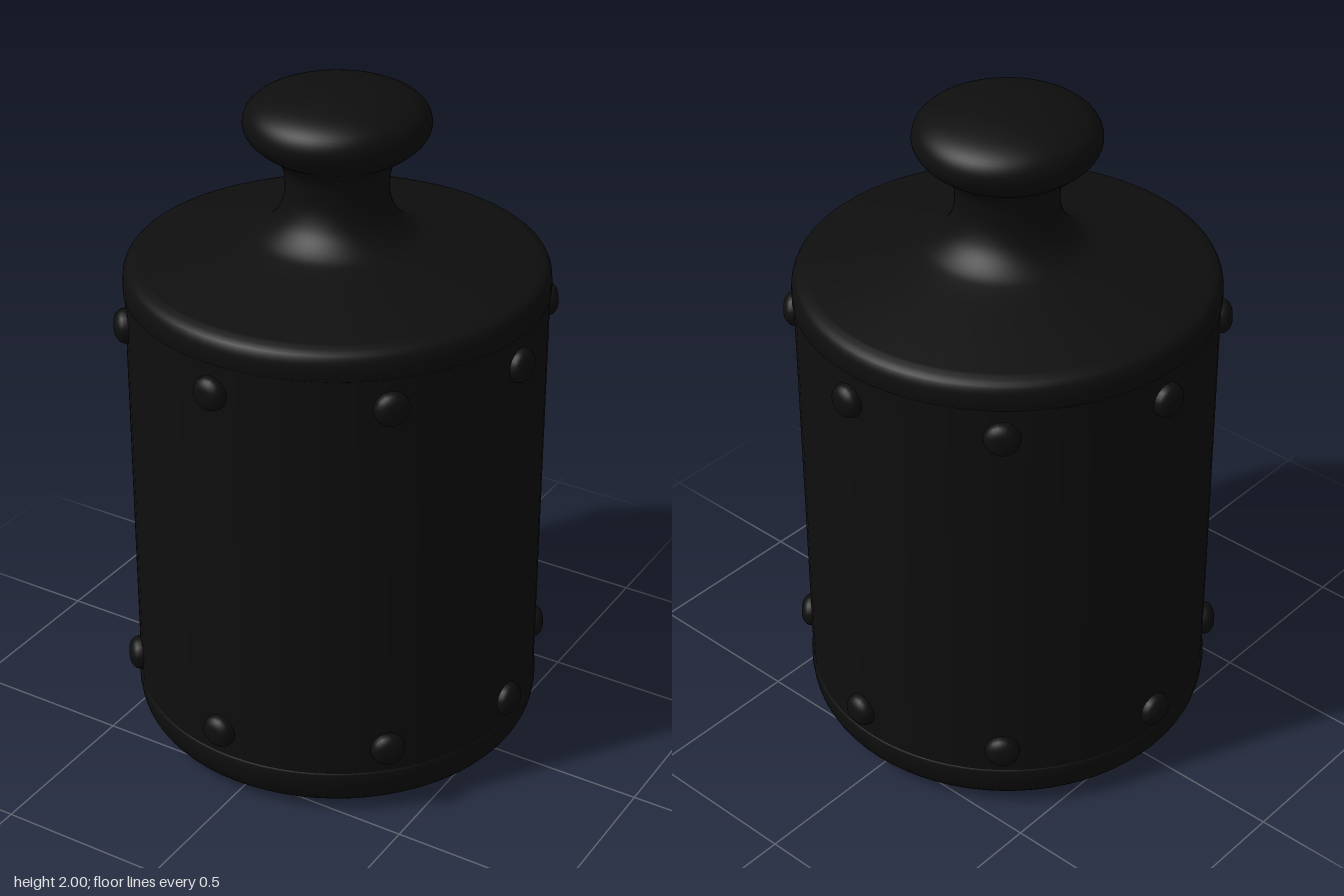
import * as THREE from 'three';

const black = new THREE.MeshStandardMaterial({ color: 0x0e0e0e });
black.name = 'black metal';

const points = (list) => list.map(([r, y]) => new THREE.Vector2(r, y));
const smooth = (list, n) => new THREE.SplineCurve(points(list)).getPoints(n);

function turned(name, profile, segments = 72) {
  const mesh = new THREE.Mesh(new THREE.LatheGeometry(profile, segments), black);
  mesh.name = name;
  return mesh;
}

export function createModel() {
  const model = new THREE.Group();
  model.name = 'rivetedWeight';

  const body = new THREE.Group();
  body.name = 'body';
  body.position.set(-0.006, 0, 0.004);
  model.add(body);

  // rounded base cap
  body.add(turned('baseCap', [
    ...points([[0, 0], [0.47, 0]]),
    ...smooth([[0.49, 0.001], [0.53, 0.011], [0.57, 0.037], [0.594, 0.075], [0.602, 0.12]], 12),
    ...points([[0.602, 0.142], [0.596, 0.147]]),
  ]));

  // straight barrel
  body.add(turned('barrel', points([[0.598, 0.14], [0.598, 1.415]])));

  // lid: rounded shoulder, shallow cone, neck and mushroom knob
  body.add(turned('lidAndKnob', [
    ...points([[0.596, 1.408], [0.602, 1.413]]),
    ...smooth([[0.602, 1.44], [0.599, 1.465], [0.586, 1.487], [0.555, 1.5]], 10),
    ...smooth([
      [0.4, 1.532], [0.27, 1.56], [0.215, 1.58], [0.172, 1.62], [0.15, 1.67], [0.145, 1.72],
      [0.153, 1.77], [0.178, 1.805], [0.213, 1.828], [0.247, 1.86], [0.26, 1.897],
      [0.245, 1.938], [0.2, 1.968], [0.12, 1.99], [0.05, 1.998], [0, 2],
    ], 64),
  ]));

  // two rings of domed rivets, slightly unevenly spaced
  const dome = smooth([[0.05, -0.03], [0.05, 0.005], [0.044, 0.022], [0.026, 0.034], [0, 0.037]], 14);
  const angles = [3, 45, 93, 139, 183, 230, 274, 322];
  for (const [ring, y] of [['lower', 0.225], ['upper', 1.325]]) {
    for (const degrees of angles) {
      const a = THREE.MathUtils.degToRad(degrees);
      const out = new THREE.Vector3(Math.cos(a), 0, Math.sin(a));
      const rivet = turned(ring + 'Rivet', dome, 20);
      rivet.position.copy(out).multiplyScalar(0.597).setY(y);
      rivet.quaternion.setFromUnitVectors(new THREE.Vector3(0, 1, 0), out);
      body.add(rivet);
    }
  }
  return model;
}
